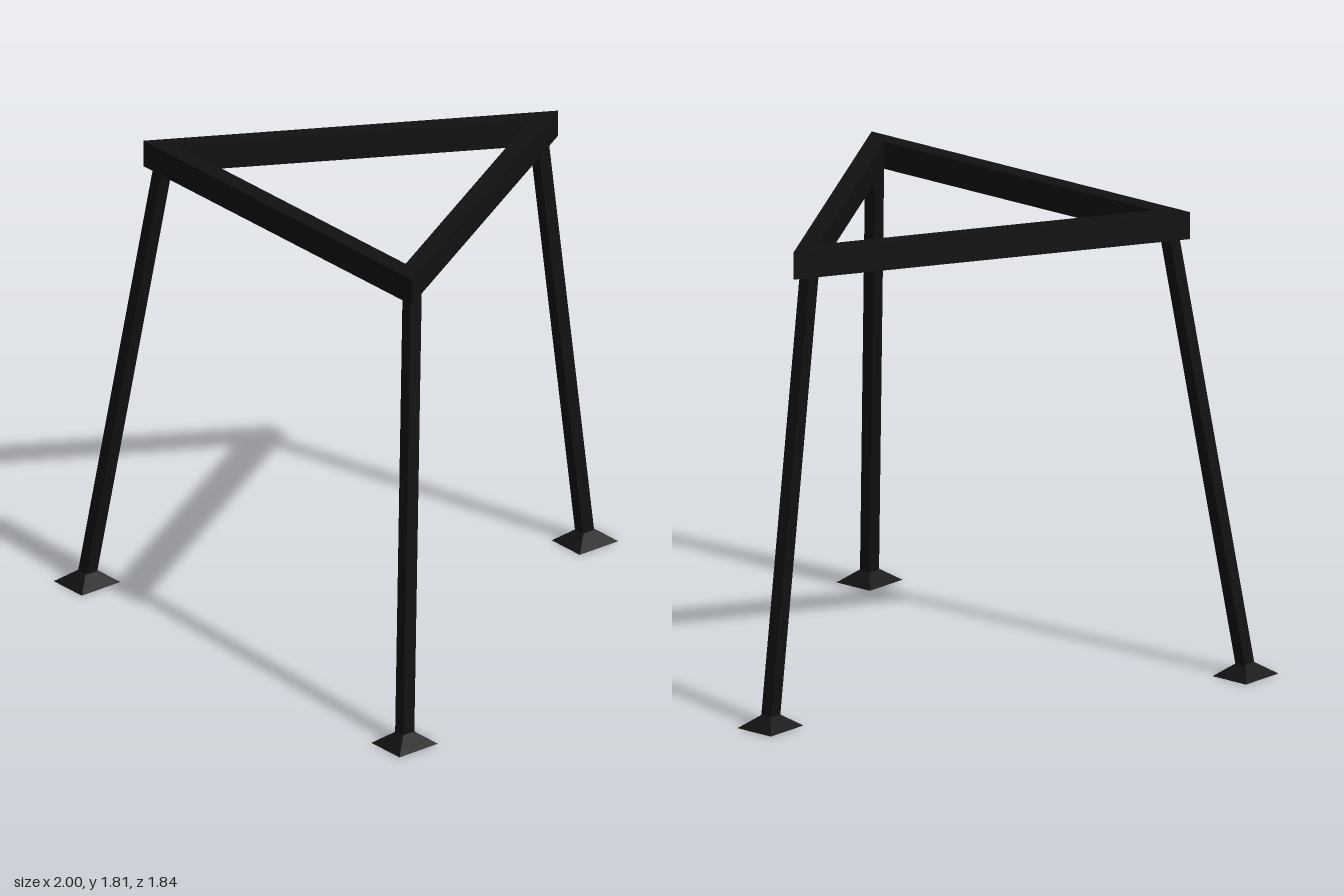
import * as THREE from 'three';

const material = new THREE.MeshStandardMaterial({ color: 0x111111, flatShading: true });

// Four-sided bar between two horizontal rectangles {x, y, z, w, d}
function taperedBar(name, bottom, top) {
  const geometry = new THREE.BoxGeometry(1, 1, 1);
  const p = geometry.attributes.position;
  for (let i = 0; i < p.count; i++) {
    const s = p.getY(i) < 0 ? bottom : top;
    p.setXYZ(i, s.x + p.getX(i) * s.w, s.y, s.z + p.getZ(i) * s.d);
  }
  geometry.computeVertexNormals();
  const mesh = new THREE.Mesh(geometry, material);
  mesh.name = name;
  return mesh;
}

// Mitred triangular frame
function createFrame() {
  const cx = -0.005, bottom = 1.71, height = 0.105;
  const triangle = (half, front, back) => [
    new THREE.Vector2(cx - half, -front),
    new THREE.Vector2(cx + half, -front),
    new THREE.Vector2(cx, -back),
  ];
  const shape = new THREE.Shape(triangle(0.783, 0.662, -0.693));
  shape.holes.push(new THREE.Path(triangle(0.663, 0.592, -0.555)));
  const geometry = new THREE.ExtrudeGeometry(shape, { depth: height, bevelEnabled: false });
  geometry.rotateX(-Math.PI / 2).translate(0, bottom, 0);
  const mesh = new THREE.Mesh(geometry, material);
  mesh.name = 'triangularFrame';
  return mesh;
}

export function createModel() {
  const model = new THREE.Group();
  model.name = 'tripodStand';
  model.add(createFrame());

  // Splayed legs, each on a sloped square foot
  const legs = [
    { name: 'frontRight', foot: [-0.918, 0.827], head: [-0.707, 0.637] },
    { name: 'frontLeft', foot: [0.918, 0.812], head: [0.72, 0.612] },
    { name: 'back', foot: [-0.008, -0.827], head: [-0.008, -0.605] },
  ];
  for (const { name, foot: [fx, fz], head: [hx, hz] } of legs) {
    const section = { w: 0.048, d: 0.053 };
    model.add(taperedBar(name + 'Leg',
      { x: fx, y: 0.03, z: fz, ...section },
      { x: hx, y: 1.72, z: hz, ...section }));
    model.add(taperedBar(name + 'Foot',
      { x: fx, y: 0, z: fz, w: 0.164, d: 0.186 },
      { x: fx, y: 0.05, z: fz, w: 0.04, d: 0.045 }));
  }
  return model;
}
